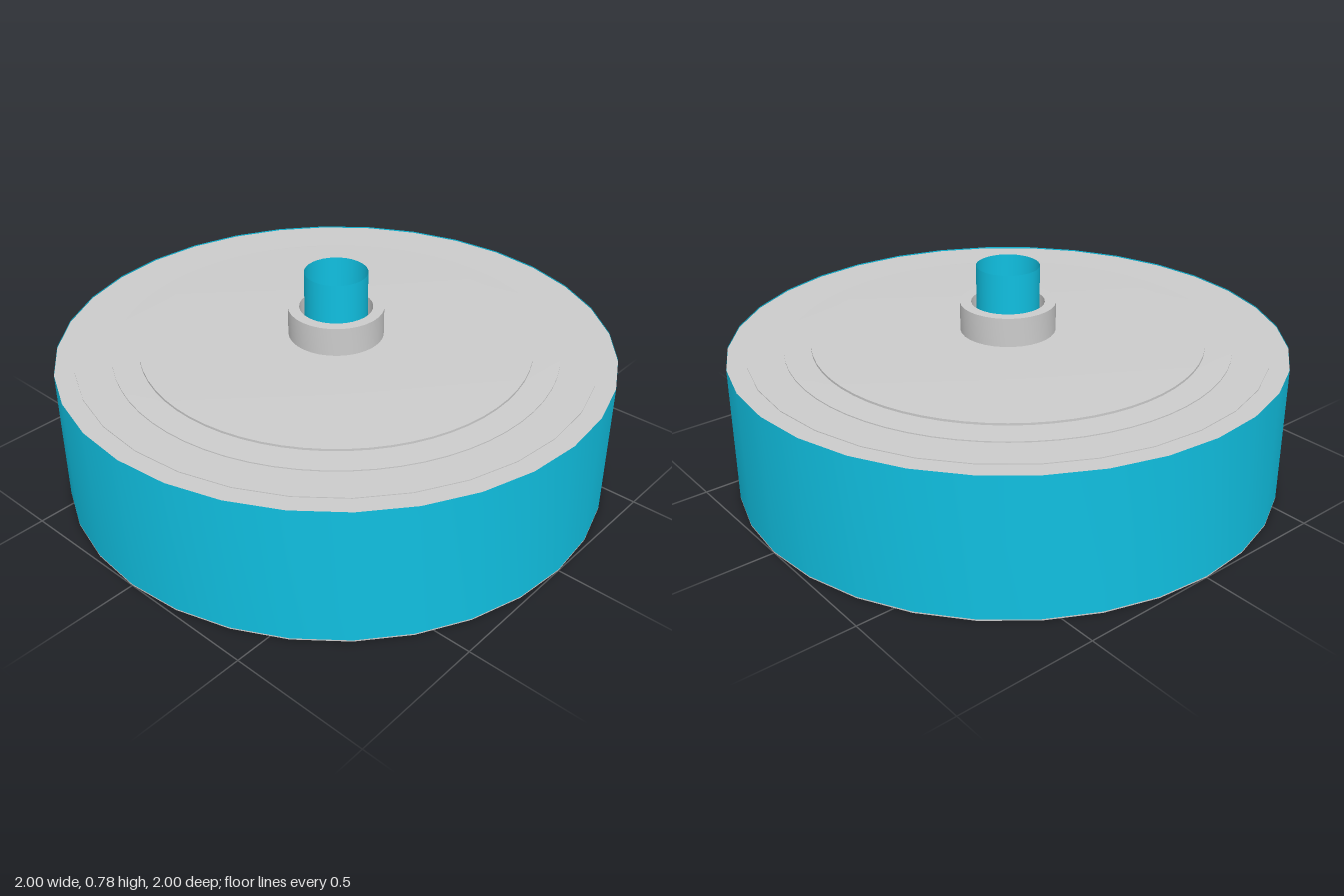
import * as THREE from 'three';
import { toCreasedNormals } from 'three/addons/utils/BufferGeometryUtils.js';

const grey = new THREE.MeshStandardMaterial({ color: 0xcccccc, side: THREE.DoubleSide });
const teal = new THREE.MeshStandardMaterial({ color: 0x10bfe0, side: THREE.DoubleSide });

// Turned part: profile is a list of [radius, height] pairs
function turned(name, profile, material, segments) {
  const points = profile.map(([r, y]) => new THREE.Vector2(r, y));
  const geometry = toCreasedNormals(new THREE.LatheGeometry(points, segments), 0.5);
  const mesh = new THREE.Mesh(geometry, material);
  mesh.name = name;
  return mesh;
}

export function createModel() {
  const model = new THREE.Group();
  model.name = 'roundBase';

  model.add(
    // Coloured outer band
    turned('outerWall', [[1, 0.005], [1, 0.506]], teal, 32),
    // Recessed underside with a narrow lip
    turned('bottomPan', [[0, 0.025], [0.985, 0.025], [0.985, 0], [1, 0], [1, 0.005]], grey, 32),
    // Top cover, raised slightly in steps towards the middle
    turned('topCover', [[1, 0.501], [0.93, 0.501], [0.93, 0.504], [0, 0.504]], grey, 32),
    turned('topPlate', [[0.8, 0.504], [0.8, 0.508], [0.705, 0.512], [0.705, 0.52], [0, 0.52]], grey, 64),
    // Thin washer floating just above the plate
    turned('washer', [[0.11, 0.53], [0.27, 0.53], [0.292, 0.539], [0.11, 0.539]], grey, 64),
    // Collar around the stem, with a clearance gap
    turned('collar', [[0.132, 0.539], [0.172, 0.539], [0.172, 0.645], [0.132, 0.645], [0.132, 0.539]], grey, 32),
    // Open hollow stem
    turned('stem', [[0.113, 0.025], [0.113, 0.78]], teal, 32),
  );

  // Four round pads in an arc under the base
  for (let i = 0; i < 4; i++) {
    const angle = THREE.MathUtils.degToRad(33 + i * 41.4);
    const pad = new THREE.Mesh(new THREE.CylinderGeometry(0.063, 0.063, 0.006, 24), grey);
    pad.name = 'bottomPad' + (i + 1);
    pad.position.set(0.383 * Math.cos(angle), 0.025, 0.383 * Math.sin(angle));
    model.add(pad);
  }
  return model;
}
